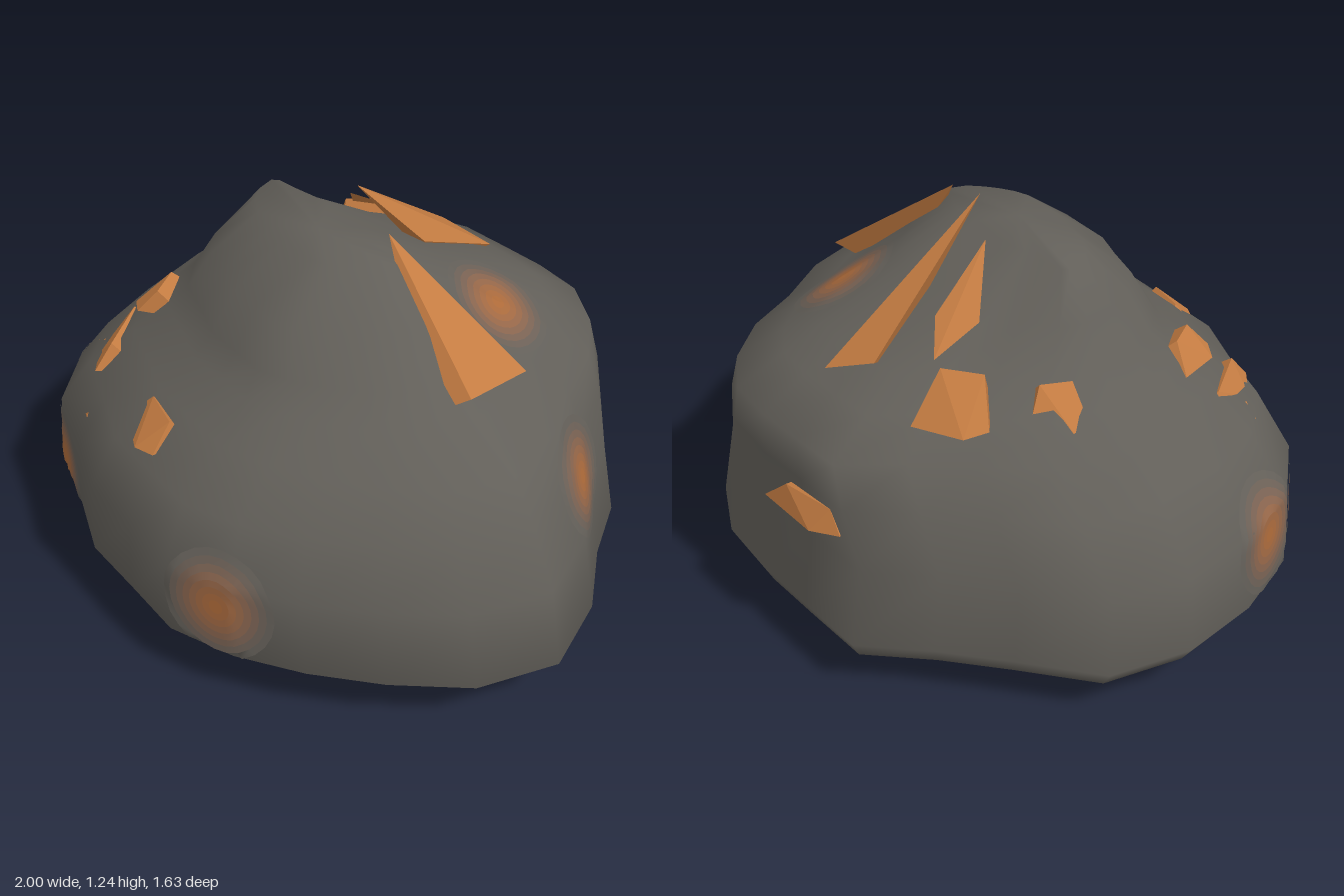
import * as THREE from 'three';
import { ConvexGeometry } from 'three/addons/geometries/ConvexGeometry.js';

const ROCK = new THREE.Color(0x625f59);
const STAIN = new THREE.Color(0xb46c34);

// Radius of the widest outline every 15 degrees, from +x round through +z
const RADII = [
  1, 0.965, 0.89, 0.85, 0.84, 0.84, 0.81, 0.84, 0.85, 0.94, 0.975, 0.985,
  1, 0.99, 0.88, 0.85, 0.9, 0.83, 0.82, 0.845, 0.845, 0.84, 0.83, 0.916,
];

// Sections from the underside to the crown: y, reach to -x, +x, -z, +z
const SECTIONS = [
  [0.01, 0.45, 0.3, 0.4, 0.32], [0.08, 0.86, 0.72, 0.74, 0.62], [0.13, 0.96, 0.88, 0.79, 0.73],
  [0.19, 1, 1, 0.82, 0.82], [0.43, 0.98, 0.95, 0.78, 0.81], [0.6, 0.84, 0.86, 0.79, 0.73],
  [0.72, 0.72, 0.77, 0.78, 0.58], [0.81, 0.63, 0.6, 0.64, 0.47], [0.88, 0.55, 0.49, 0.52, 0.41],
  [1.0, 0.48, 0.36, 0.27, 0.34], [1.125, 0.39, 0.22, 0.06, 0.17],
];

function boulderGeometry() {
  const n = RADII.length, pos = [], idx = [];
  for (const [y, left, right, back, front] of SECTIONS)
    RADII.forEach((radius, i) => {
      const a = i / n * Math.PI * 2, x = radius * Math.cos(a), z = radius * Math.sin(a);
      pos.push(x * (x < 0 ? left : right), y, z / 0.825 * (z < 0 ? back : front));
    });
  for (let r = 0; r < SECTIONS.length - 1; r++)
    for (let i = 0; i < n; i++) {
      const a = r * n + i, b = r * n + (i + 1) % n;
      idx.push(a, a + n, b, b, a + n, b + n);
    }
  // Underside and crown are closed by fans
  const low = pos.length / 3, top = (SECTIONS.length - 1) * n;
  pos.push(-0.05, 0, 0, -0.06, 1.135, 0.06);
  for (let i = 0; i < n; i++) {
    const j = (i + 1) % n;
    idx.push(low, i, j, low + 1, top + j, top + i);
  }
  const g = new THREE.BufferGeometry();
  g.setAttribute('position', new THREE.Float32BufferAttribute(pos, 3));
  g.setIndex(idx);
  g.computeVertexNormals();
  return g;
}

// Long spikes near the crown: the tip, then the corners of the foot
const SPIKES = {
  rightSpike: [[0.14, 1.18, -0.04], [0.48, 0.8, 0.08], [0.57, 0.87, 0], [0.55, 0.86, -0.22], [0.4, 0.78, -0.1]],
  backSpike: [[-0.05, 1.24, -0.07], [-0.19, 0.9, -0.52], [-0.05, 0.84, -0.6], [0.01, 1, -0.28], [-0.08, 0.82, -0.4]],
  slimSpike: [[-0.15, 1.15, -0.12], [-0.31, 0.93, -0.4], [-0.21, 1, -0.33], [-0.31, 1, -0.25]],
};

// Chips: centre of the outer lower edge (x, y, z), width, height, setback of the ridge
const CHIPS = {
  backLeftChip: [-0.47, 0.79, -0.46, 0.22, 0.14, 0.12],
  sideChip: [-0.62, 0.78, -0.19, 0.17, 0.11, 0.09],
  backLowChip: [-0.22, 0.5, -0.81, 0.31, 0.08, 0.03],
  clusterTopChip: [-0.55, 0.77, 0.38, 0.19, 0.08, 0.08],
  clusterMainChip: [-0.61, 0.61, 0.48, 0.36, 0.09, 0.06],
  clusterSmallChip: [-0.67, 0.59, 0.46, 0.2, 0.035, 0.03],
  clusterLowChip: [-0.54, 0.5, 0.61, 0.26, 0.06, 0.04],
  clusterThinChip: [-0.74, 0.55, 0.41, 0.2, 0.02, 0.02],
  frontChip: [-0.13, 0.62, 0.69, 0.23, 0.09, 0.09],
};

// A tapered block, turned so that its sloping face looks away from the middle
function chipGeometry([x, y, z, w, h, setback]) {
  const depth = 0.18;
  const corners = [
    [-0.5 * w, 0, -0.03], [0.2 * w, 0, 0.01], [0.5 * w, 0.1 * h, -0.02],
    [-0.4 * w, 0, -depth], [0.4 * w, 0, -depth],
    [-0.2 * w, h, -setback], [0.36 * w, 0.95 * h, -setback],
  ].map(c => new THREE.Vector3(...c));
  return new ConvexGeometry(corners).rotateY(Math.atan2(x, z)).translate(x, y, z);
}

// Centres of the rust stains
const STAINS = [
  [-0.62, 0.23, 0.68], [0.37, 0.35, 0.75], [0.74, 0.55, -0.32], [0.28, 0.9, -0.34],
  [-0.86, 0.36, 0.36], [0.1, 0.05, -0.62], [-0.3, 0.01, -0.16],
];

// A stain fades out in bands, each draped on the rock by casting rays
function stain(rock, centre) {
  const group = new THREE.Group();
  const origin = new THREE.Vector3(...centre);
  const out = origin.y < 0.1
    ? new THREE.Vector3(0, -1, 0)
    : new THREE.Vector3(origin.x, origin.y - 0.25, origin.z).normalize();
  const turn = new THREE.Quaternion().setFromUnitVectors(new THREE.Vector3(0, 0, 1), out);
  const inward = out.clone().negate();
  const ray = new THREE.Raycaster();
  const p = new THREE.Vector3();
  const bands = 8, radius = 0.18;
  for (let b = 0; b < bands; b++) {
    const g = new THREE.RingGeometry(radius * b / bands, radius * (b + 1) / bands, 24, 1);
    const pos = g.attributes.position;
    for (let i = 0; i < pos.count; i++) {
      p.fromBufferAttribute(pos, i).applyQuaternion(turn).add(origin);
      ray.set(p.clone().addScaledVector(out, 0.5), inward);
      const hit = ray.intersectObject(rock)[0];
      if (hit) p.copy(hit.point);
      p.addScaledVector(out, 0.005);
      pos.setXYZ(i, p.x, p.y, p.z);
    }
    g.computeVertexNormals();
    const fade = 1 - THREE.MathUtils.smoothstep((b + 0.5) / bands, 0, 1);
    const color = ROCK.clone().lerp(STAIN, fade * 0.9);
    group.add(new THREE.Mesh(g, new THREE.MeshStandardMaterial({ color })));
  }
  return group;
}

export function createModel() {
  const model = new THREE.Group();
  model.name = 'oreBoulder';

  const rock = new THREE.Mesh(boulderGeometry(), new THREE.MeshStandardMaterial({ color: ROCK }));
  rock.name = 'boulder';
  model.add(rock);

  const copper = new THREE.MeshStandardMaterial({ color: 0xc47c42, flatShading: true });
  const addShard = (name, geometry) => {
    const mesh = new THREE.Mesh(geometry, copper);
    mesh.name = name;
    model.add(mesh);
  };
  for (const [name, corners] of Object.entries(SPIKES))
    addShard(name, new ConvexGeometry(corners.map(c => new THREE.Vector3(...c))));
  for (const [name, chip] of Object.entries(CHIPS)) addShard(name, chipGeometry(chip));

  STAINS.forEach((centre, i) => {
    const patch = stain(rock, centre);
    patch.name = `rustStain${i + 1}`;
    model.add(patch);
  });
  return model;
}
